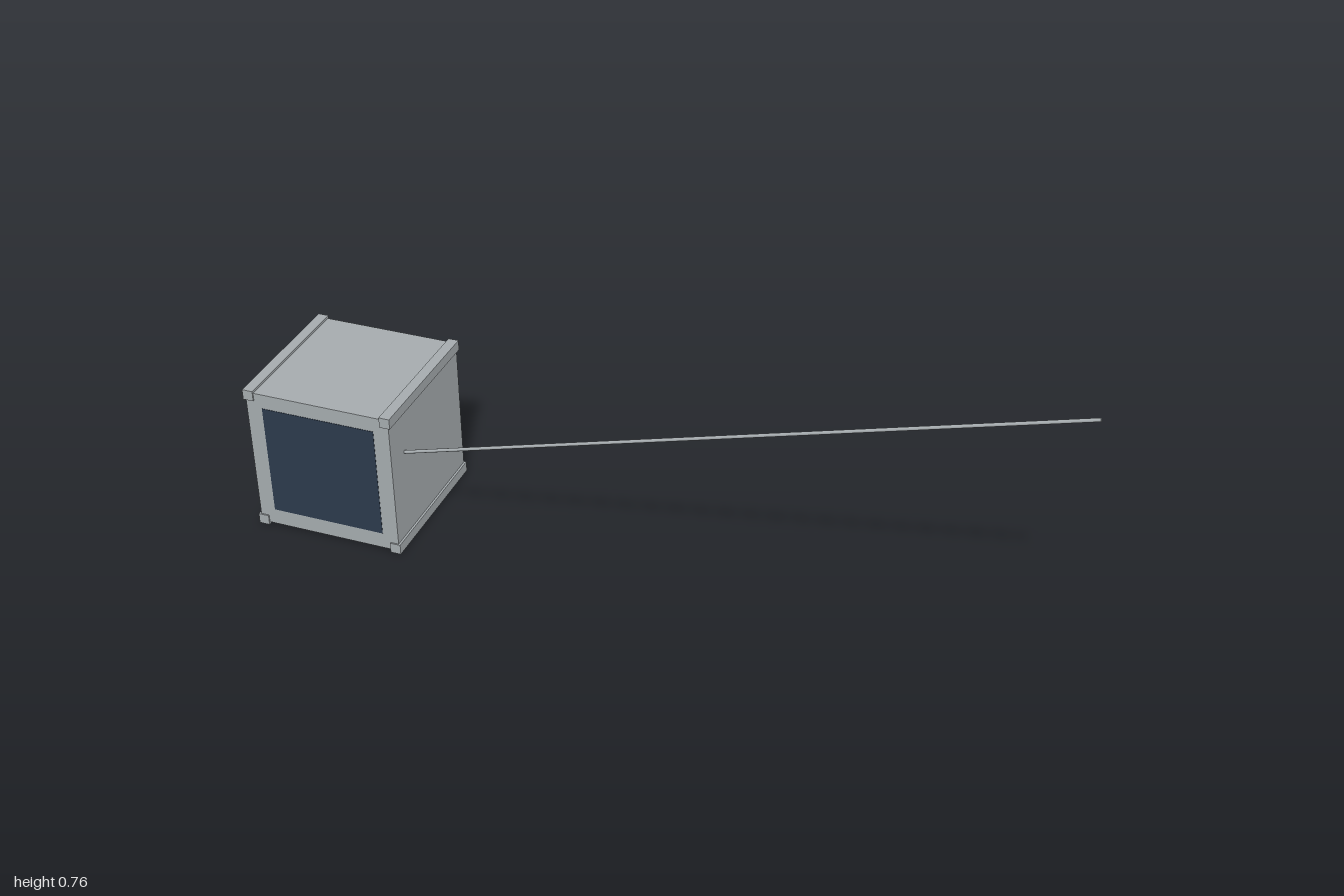
import * as THREE from 'three';

export function createModel() {
  const model = new THREE.Group();
  const grey = new THREE.MeshStandardMaterial({ name: 'grey metal', color: 0xa5abae });
  const navy = new THREE.MeshStandardMaterial({ name: 'dark glass', color: 0x2c3a4c });

  const add = (name, geometry, material, x, y, z) => {
    const mesh = new THREE.Mesh(geometry, material);
    mesh.name = name;
    mesh.position.set(x, y, z);
    model.add(mesh);
    return mesh;
  };

  // Cube housing with a dark panel on its front
  const cx = -0.806, cy = 0.195, cz = -0.005;
  add('housing', new THREE.BoxGeometry(0.377, 0.377, 0.377), grey, cx, cy, cz);
  add('frontPanel', new THREE.BoxGeometry(0.295, 0.295, 0.004), navy, cx, 0.197, 0.1825);

  // Square rails along the four long edges
  const railGeometry = new THREE.BoxGeometry(0.027, 0.027, 0.384);
  for (const sx of [-1, 1]) {
    for (const sy of [-1, 1]) {
      add('edgeRail', railGeometry, grey, cx + sx * 0.1805, cy + sy * 0.1815, cz);
    }
  }

  // Long thin boom rising from the left face
  const start = new THREE.Vector3(-0.619, 0.253, 0.115);
  const end = new THREE.Vector3(0.999, 0.752, 0.193);
  const direction = end.clone().sub(start);
  const middle = start.clone().add(end).multiplyScalar(0.5);
  const boom = add('boom', new THREE.CylinderGeometry(0.0042, 0.0042, direction.length(), 12),
    grey, middle.x, middle.y, middle.z);
  boom.quaternion.setFromUnitVectors(new THREE.Vector3(0, 1, 0), direction.normalize());

  return model;
}
